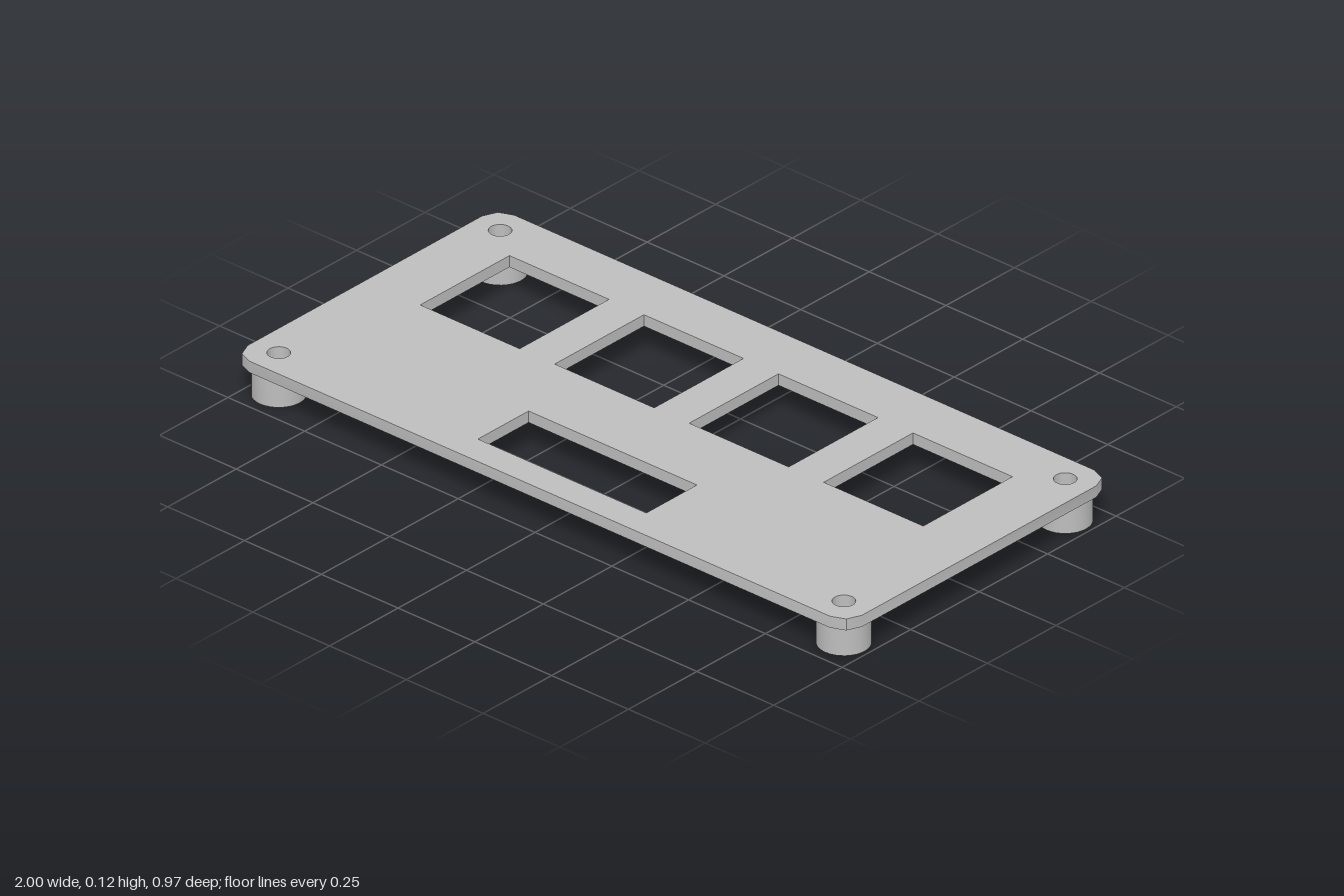
import * as THREE from 'three';
import { toCreasedNormals } from 'three/addons/utils/BufferGeometryUtils.js';

const HALF_X = 1, HALF_Z = 0.483, CORNER = 0.055;
const POST_TOP = 0.083, PLATE_TOP = 0.115;
const SCREW_X = 0.92, SCREW_Z = 0.404, BORE = 0.029, POST_R = 0.068;

// Plan shapes use (x, -z), then are laid flat and raised to y.
function extrudeUp(shape, y, height, curveSegments) {
  const geometry = new THREE.ExtrudeGeometry(shape, { depth: height, bevelEnabled: false, curveSegments });
  geometry.rotateX(-Math.PI / 2);
  geometry.translate(0, y, 0);
  return toCreasedNormals(geometry, 0.4);
}

function rectHole(x0, x1, z0, z1) {
  return new THREE.Path([[x0, -z0], [x1, -z0], [x1, -z1], [x0, -z1]].map(([x, y]) => new THREE.Vector2(x, y)));
}

function roundHole(x, z) {
  return new THREE.Path().absarc(x, -z, BORE, 0, Math.PI * 2, true);
}

// Rectangle whose corners are cut by two short facets each
function plateOutline() {
  const points = [];
  [[1, 1], [-1, 1], [-1, -1], [1, -1]].forEach(([sx, sy], i) => {
    for (let k = 0; k <= 2; k++) {
      const a = i * Math.PI / 2 + k * Math.PI / 4;
      points.push(new THREE.Vector2(
        sx * (HALF_X - CORNER) + CORNER * Math.cos(a),
        sy * (HALF_Z - CORNER) + CORNER * Math.sin(a)));
    }
  });
  return new THREE.Shape(points);
}

export function createModel() {
  const group = new THREE.Group();
  group.name = 'mountingPlate';
  const grey = new THREE.MeshStandardMaterial({ color: 0xbebebe });
  grey.name = 'grey';

  const corners = [[-1, -1], [1, -1], [-1, 1], [1, 1]].map(([sx, sz]) => [sx * SCREW_X, sz * SCREW_Z]);

  // Plate with four square windows, one wide slot and four screw holes
  const outline = plateOutline();
  for (const x of [-0.658, -0.22, 0.218, 0.656]) {
    outline.holes.push(rectHole(x - 0.162, x + 0.162, -0.326, 0));
  }
  outline.holes.push(rectHole(-0.275, 0.273, 0.215, 0.4));
  for (const [x, z] of corners) outline.holes.push(roundHole(x, z));
  const plate = new THREE.Mesh(extrudeUp(outline, POST_TOP, PLATE_TOP - POST_TOP, 16), grey);
  plate.name = 'plate';
  group.add(plate);

  // Hollow standoff under each screw hole
  const ring = new THREE.Shape().absarc(0, 0, POST_R, 0, Math.PI * 2, false);
  ring.holes.push(roundHole(0, 0));
  const postGeometry = extrudeUp(ring, 0, POST_TOP, 16);
  for (const [x, z] of corners) {
    const post = new THREE.Mesh(postGeometry, grey);
    post.name = (z > 0 ? 'front' : 'back') + (x > 0 ? 'Left' : 'Right') + 'Standoff';
    post.position.set(x, 0, z);
    group.add(post);
  }
  return group;
}
